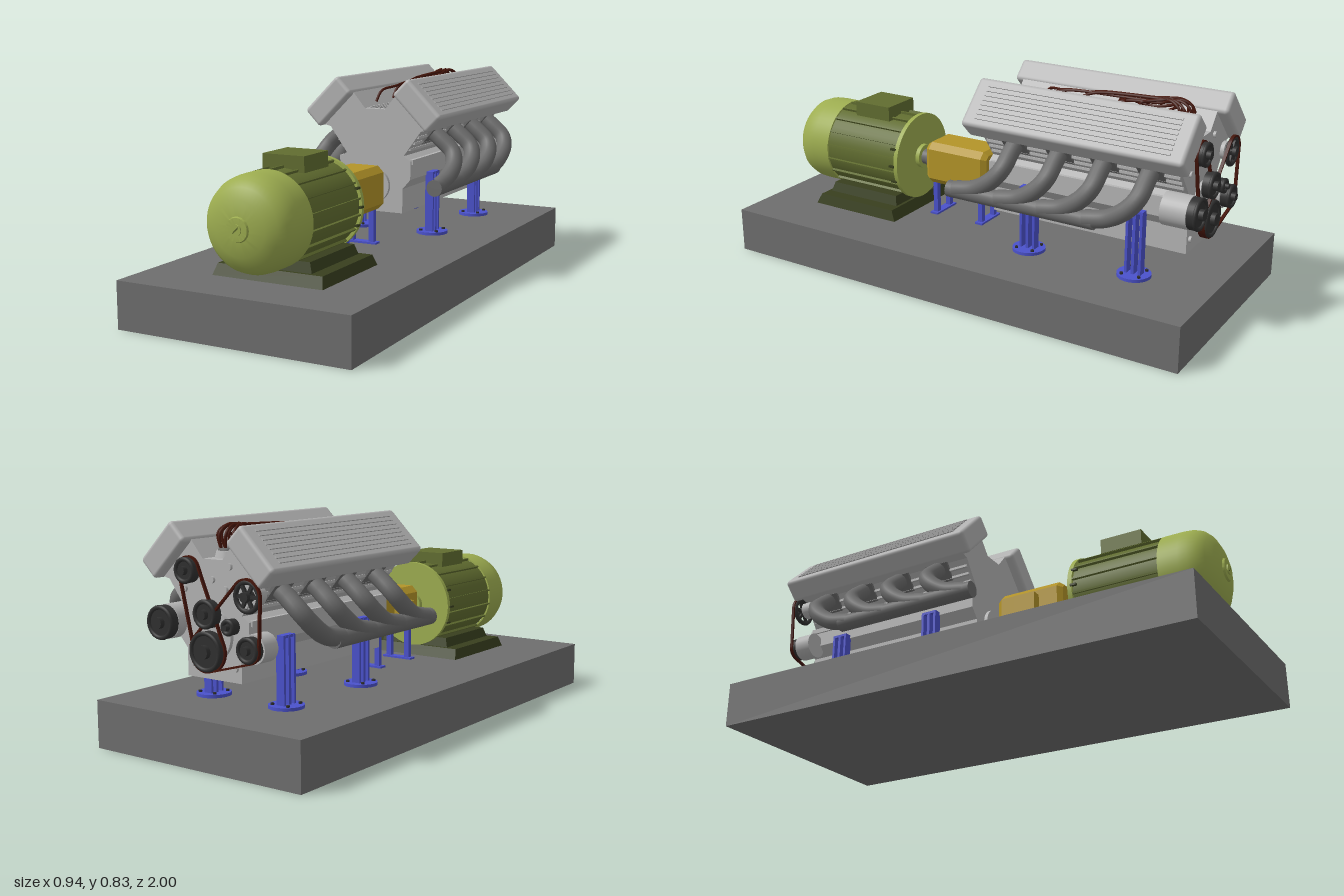
import * as THREE from 'three';
import { RoundedBoxGeometry } from 'three/addons/geometries/RoundedBoxGeometry.js';
import { toCreasedNormals } from 'three/addons/utils/BufferGeometryUtils.js';

const mat = (name, color) => {
  const m = new THREE.MeshStandardMaterial({ color });
  m.name = name;
  return m;
};
const concrete = mat('plinth grey', 0x6e6e6e);
const alloy = mat('light alloy', 0xb4b4b4);
const steel = mat('exhaust steel', 0x6c6c6c);
const black = mat('pulley black', 0x303030);
const green = mat('cover green', 0x9dad50);
const olive = mat('motor olive', 0x616d30);
const darkOlive = mat('foot dark olive', 0x383f1e);
const yellow = mat('coupling yellow', 0xb39428);
const blue = mat('stand blue', 0x4b52cc);
const rust = mat('cable brown', 0x45150a);

function add(parent, name, geo, material, x = 0, y = 0, z = 0) {
  const m = new THREE.Mesh(geo, material);
  m.name = name;
  m.position.set(x, y, z);
  parent.add(m);
  return m;
}
const box = (w, h, d) => new THREE.BoxGeometry(w, h, d);
// Cylinder lying along z
const drum = (r, len, seg = 32) => new THREE.CylinderGeometry(r, r, len, seg).rotateX(Math.PI / 2);
// Box whose top is narrower than its bottom
function taperedBox(w, h, d, sx, sz) {
  const g = box(w, h, d), p = g.attributes.position;
  for (let i = 0; i < p.count; i++)
    if (p.getY(i) > 0) p.setXYZ(i, p.getX(i) * sx, p.getY(i), p.getZ(i) * sz);
  g.computeVertexNormals();
  return g;
}
const tube = (pts, r, seg = 32, sides = 8) => new THREE.TubeGeometry(
  new THREE.CatmullRomCurve3(pts.map(p => new THREE.Vector3(...p)), false, 'centripetal'), seg, r, sides);

function buildMotor() {
  const g = new THREE.Group();
  g.name = 'electricMotor';
  const cy = 0.4;
  // Fan cover dome, lathed about z
  const profile = [[0.17, 0], [0.177, 0], [0.177, 0.08], [0.174, 0.115], [0.162, 0.147], [0.14, 0.17],
    [0.1, 0.19], [0.045, 0.2], [0.042, 0.208], [0.02, 0.208], [0.02, 0.213], [0, 0.213]];
  const dome = new THREE.LatheGeometry(profile.map(p => new THREE.Vector2(...p)), 48).rotateX(Math.PI / 2);
  add(g, 'fanCover', toCreasedNormals(dome, 0.6), green, 0, cy, 0.75);
  add(g, 'hubSlot', box(0.03, 0.004, 0.004), olive, 0, cy, 0.963).rotation.z = 0.8;
  // Ribbed body and end flange
  add(g, 'motorBody', drum(0.168, 0.36, 48), olive, 0, cy, 0.575);
  add(g, 'endFlange', drum(0.18, 0.018, 48), green, 0, cy, 0.393);
  add(g, 'bearingBoss', drum(0.05, 0.02), green, 0, cy, 0.376);
  for (let i = 0; i < 18; i++) {
    const a = (i + 0.5) / 18 * Math.PI * 2;
    const rib = add(g, 'coolingRib', box(0.02, 0.007, 0.35), olive, Math.cos(a) * 0.168, cy + Math.sin(a) * 0.168, 0.575);
    rib.rotation.z = a;
  }
  for (const s of [-1, 1]) for (const dy of [-0.07, 0, 0.07])
    add(g, 'flangeBolt', box(0.012, 0.008, 0.025), darkOlive, s * Math.sqrt(0.18 ** 2 - dy * dy), cy + dy, 0.41);
  // Terminal box and feet
  add(g, 'terminalBox', box(0.173, 0.06, 0.17), olive, 0, 0.585, 0.572);
  add(g, 'footPlate', taperedBox(0.455, 0.042, 0.41, 0.95, 0.9), darkOlive, 0, 0.201, 0.575);
  add(g, 'pedestal', taperedBox(0.34, 0.05, 0.35, 0.9, 0.92), darkOlive, 0, 0.235, 0.575);
  return g;
}

function buildCoupling() {
  const g = new THREE.Group();
  g.name = 'coupling';
  const c = 0.025, w = 0.085, h = 0.0875;
  const outline = new THREE.Shape([[-w + c, -h], [w - c, -h], [w, -h + c], [w, h - c], [w - c, h], [-w + c, h],
    [-w, h - c], [-w, -h + c]].map(p => new THREE.Vector2(...p)));
  add(g, 'couplingHousing', new THREE.ExtrudeGeometry(outline,
    { depth: 0.25, bevelThickness: 0.02, bevelSize: 0.015, bevelOffset: -0.015, bevelSegments: 1 }), yellow, 0, 0.407, 0.04);
  add(g, 'sensorBox', box(0.05, 0.085, 0.09), yellow, -0.1, 0.405, 0.165);
  add(g, 'shaft', drum(0.032, 0.46), steel, 0, 0.4, 0.165);
  for (const z of [0.0, 0.325]) add(g, 'shaftCollar', drum(0.042, 0.025), steel, 0, 0.4, z);
  for (const z of [0.06, 0.28]) {
    for (const x of [-0.045, 0.045]) add(g, 'couplingLeg', box(0.022, 0.145, 0.02), blue, x, 0.252, z);
    add(g, 'couplingFoot', box(0.14, 0.008, 0.035), blue, 0, 0.184, z);
  }
  return g;
}

// Loop of belt stretched round a set of [x, y, r] pulleys
function beltGeometry(pulleys, depth) {
  const loop = grow => Array.from({ length: 72 }, (_, i) => {
    const a = i / 72 * Math.PI * 2, dx = Math.cos(a), dy = Math.sin(a);
    const reach = p => p[0] * dx + p[1] * dy + p[2];
    const p = pulleys.reduce((m, q) => (reach(q) > reach(m) ? q : m));
    return new THREE.Vector2(p[0] + (p[2] + grow) * dx, p[1] + (p[2] + grow) * dy);
  });
  const shape = new THREE.Shape(loop(0.005));
  shape.holes.push(new THREE.Path(loop(-0.002)));
  return new THREE.ExtrudeGeometry(shape, { depth, bevelEnabled: false });
}

function buildEngine() {
  const g = new THREE.Group();
  g.name = 'engine';
  // V block and crankcase from one cross-section
  const half = [[0.045, 0.71], [0.1, 0.775], [0.235, 0.635], [0.205, 0.628], [0.13, 0.525], [0.16, 0.505],
    [0.16, 0.43], [0.125, 0.39], [0.125, 0.29]];
  const pts = [...half, ...half.map(([x, y]) => [-x, y]).reverse()].map(p => new THREE.Vector2(...p));
  add(g, 'engineBlock', new THREE.ExtrudeGeometry(new THREE.Shape(pts), { depth: 0.82, bevelEnabled: false }), alloy, 0, 0, -0.87);
  for (const x of [-0.03, -0.01, 0.01, 0.03]) add(g, 'valleyRib', box(0.006, 0.008, 0.7), alloy, x, 0.712, -0.42);
  add(g, 'frontSealHousing', drum(0.07, 0.02), alloy, 0, 0.4, -0.045);

  for (const s of [-1, 1]) {
    // Valve cover with long ribs on its face
    const cover = new THREE.Group();
    cover.name = s > 0 ? 'leftValveCover' : 'rightValveCover';
    cover.position.set(s * 0.2, 0.733, -0.463);
    cover.rotation.z = -s * Math.PI / 4;
    add(cover, 'coverShell', new RoundedBoxGeometry(0.21, 0.095, 0.9, 3, 0.015), alloy);
    for (let i = 0; i < 8; i++) add(cover, 'coverRib', box(0.009, 0.008, 0.79), alloy, (i - 3.5) * 0.02, 0.048, 0);
    g.add(cover);

    // Ribs along the crankcase and head sides
    add(g, 'panRail', box(0.018, 0.02, 0.8), alloy, s * 0.158, 0.5, -0.46);
    for (const t of [0.25, 0.5, 0.75])
      add(g, 'headRib', box(0.015, 0.01, 0.8), alloy, s * (0.13 + t * 0.075), 0.525 + t * 0.103, -0.46);

    // Four exhaust pipes swept forward into one outlet
    for (const z of [-0.19, -0.38, -0.565, -0.75]) {
      const flange = add(g, 'exhaustFlange', box(0.012, 0.08, 0.1), steel, s * 0.19, 0.6, z);
      flange.rotation.z = -s * 0.7;
      add(g, 'exhaustPipe', tube([[s * 0.17, 0.63, z], [s * 0.23, 0.585, z], [s * 0.285, 0.535, z + 0.005],
        [s * 0.305, 0.49, z + 0.04], [s * 0.306, 0.445, z + 0.11], [s * 0.306, 0.424, z + 0.2]], 0.034, 32, 14), steel);
    }
    add(g, 'exhaustCollector', drum(0.033, 0.63, 20), steel, s * 0.306, 0.422, -0.275);

    // I-beam stands on round feet
    for (const z of [-0.24, -0.69]) {
      const stand = new THREE.Group();
      stand.name = 'engineStand';
      stand.position.set(s * 0.172, 0.18, z);
      add(stand, 'standWeb', box(0.035, 0.26, 0.012), blue, 0, 0.13, 0);
      for (const e of [-1, 1]) add(stand, 'standFlange', box(0.035, 0.26, 0.01), blue, 0, 0.13, e * 0.028);
      add(stand, 'standTop', box(0.04, 0.01, 0.066), blue, -s * 0.004, 0.257, 0);
      add(stand, 'standFoot', new THREE.CylinderGeometry(0.065, 0.065, 0.012, 32), blue, 0, 0.006, 0);
      for (let i = 0; i < 4; i++) {
        const a = (i + 0.5) * Math.PI / 2;
        add(stand, 'footBolt', new THREE.CylinderGeometry(0.007, 0.007, 0.008, 6), black, Math.cos(a) * 0.05, 0.015, Math.sin(a) * 0.05);
      }
      g.add(stand);
    }
  }
  return g;
}

function buildDrive() {
  const g = new THREE.Group();
  g.name = 'accessoryDrive';
  const upper = [0.09, 0.67, 0.045], crank = [0, 0.395, 0.07], wheel = [-0.185, 0.6, 0.058], lower = [-0.19, 0.42, 0.045];
  const pulley = ([x, y, r], z) => {
    add(g, 'pulley', drum(r, 0.03), black, x, y, z);
    add(g, 'pulleyRim', new THREE.TorusGeometry(r - 0.006, 0.008, 8, 32), black, x, y, z - 0.015);
    add(g, 'pulleyHub', drum(r * 0.35, 0.03, 16), black, x, y, z - 0.018);
  };
  [upper, crank, lower, [0, 0.525, 0.05], [-0.105, 0.49, 0.028]].forEach(p => pulley(p, -0.9));
  pulley([0.187, 0.482, 0.06], -0.925);
  // Spoked wheel
  add(g, 'wheelRim', new THREE.TorusGeometry(0.05, 0.009, 8, 32), black, wheel[0], wheel[1], -0.905);
  add(g, 'wheelHub', drum(0.018, 0.06, 16), black, wheel[0], wheel[1], -0.895);
  for (let i = 0; i < 3; i++)
    add(g, 'wheelSpoke', box(0.1, 0.012, 0.01), black, wheel[0], wheel[1], -0.905).rotation.z = i * Math.PI / 3;
  // Housings behind the pulleys
  add(g, 'alternatorHousing', drum(0.062, 0.1), alloy, 0.187, 0.482, -0.86);
  add(g, 'pumpHousing', drum(0.052, 0.07), alloy, -0.19, 0.42, -0.85);
  add(g, 'wheelMount', drum(0.035, 0.04), alloy, wheel[0], wheel[1], -0.865);
  add(g, 'timingCover', drum(0.09, 0.02), alloy, 0, 0.45, -0.875);
  // Cover bolts
  for (const [x, y] of [[-0.08, 0.69], [0.0, 0.64], [-0.06, 0.61], [0.13, 0.6], [0.1, 0.34], [-0.1, 0.34]])
    add(g, 'coverBolt', drum(0.012, 0.012, 12), alloy, x, y, -0.874);
  add(g, 'upperBelt', beltGeometry([upper, crank], 0.012), rust, 0, 0, -0.9);
  add(g, 'lowerBelt', beltGeometry([wheel, lower, crank], 0.012), rust, 0, 0, -0.915);
  return g;
}

function buildIgnition() {
  const g = new THREE.Group();
  g.name = 'ignition';
  add(g, 'distributor', new THREE.CylinderGeometry(0.04, 0.05, 0.04, 24), alloy, 0, 0.715, -0.79);
  add(g, 'distributorCap', new THREE.CylinderGeometry(0.032, 0.036, 0.015, 24), steel, 0, 0.737, -0.79);
  // Cables rise from the cap, run forward together and fan out to each cylinder
  [-0.17, -0.33, -0.47, -0.58].forEach((end, i) => {
    for (const s of [-1, 1]) {
      const a = (i + 0.5) * Math.PI / 4, x = s * Math.sin(a) * 0.026, z = -0.79 - Math.cos(a) * 0.026;
      const lane = s * (0.004 + i * 0.005), high = 0.795 + (i % 2) * 0.012;
      add(g, 'ignitionCable', tube([[x, 0.74, z], [x * 1.5, 0.795, z], [x, 0.822, z + 0.04], [lane, high + 0.012, -0.7],
        [lane, high, end - 0.16 + i * 0.03], [s * 0.015, high - 0.01, end - 0.1 + i * 0.02],
        [s * (0.045 + i * 0.005), 0.77, end - 0.03], [s * (0.056 + i * 0.003), 0.725, end]], 0.0055, 48, 6), rust);
    }
  });
  // Slack loops beside the bundle
  for (const s of [-1, 1])
    add(g, 'cableLoop', tube([[s * 0.01, 0.8, -0.76], [s * 0.05, 0.785, -0.72], [s * 0.062, 0.765, -0.64],
      [s * 0.05, 0.775, -0.57], [s * 0.01, 0.8, -0.55]], 0.0055, 32, 6), rust);
  return g;
}

export function createModel() {
  const root = new THREE.Group();
  root.name = 'engineTestBench';
  add(root, 'plinth', box(0.94, 0.18, 2), concrete, 0, 0.09, 0);
  // Machinery sits slightly off the plinth's centre line
  const machinery = new THREE.Group();
  machinery.name = 'machinery';
  machinery.position.x = 0.012;
  machinery.add(buildMotor(), buildCoupling(), buildEngine(), buildDrive(), buildIgnition());
  root.add(machinery);
  return root;
}
